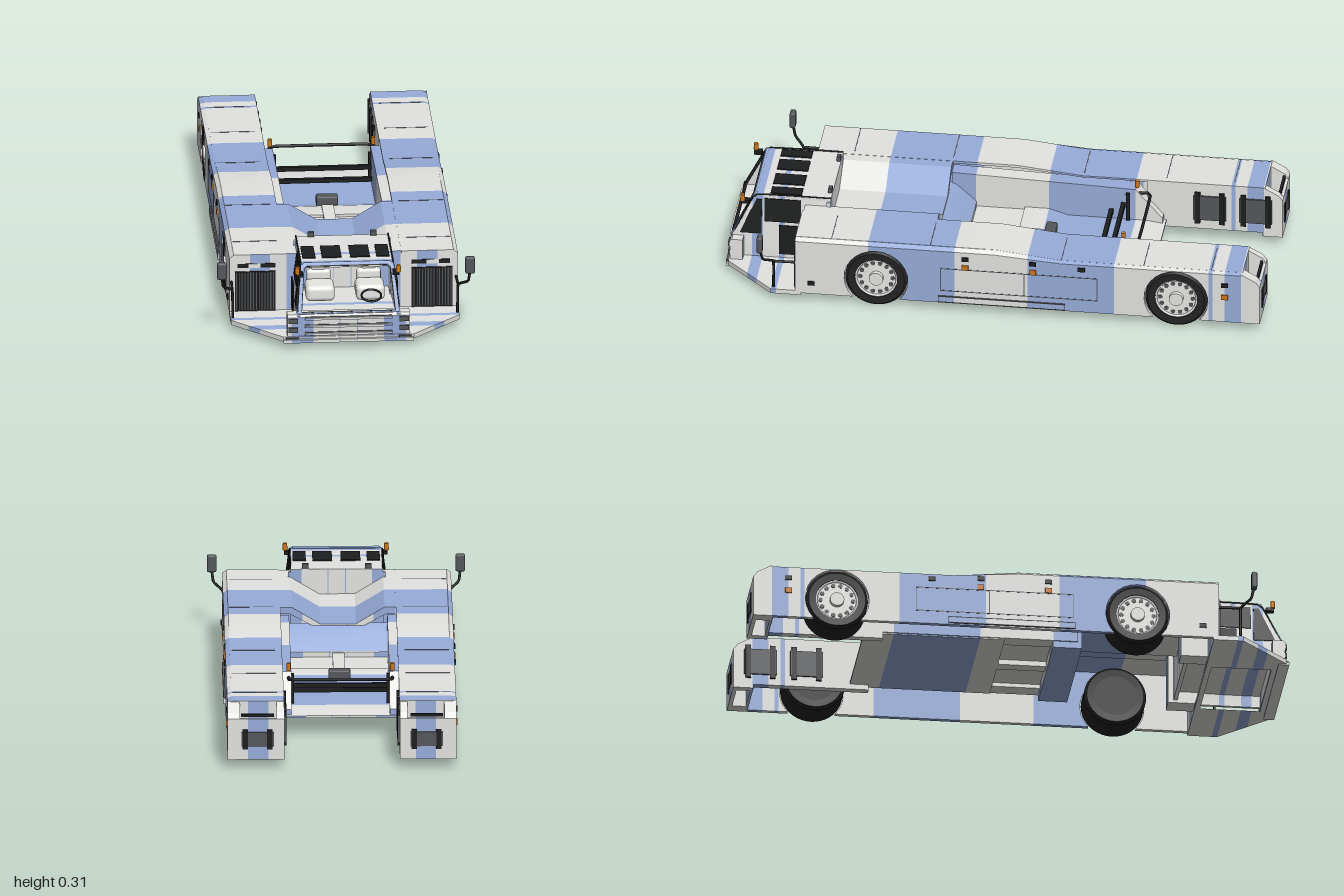
import * as THREE from 'three';
import { toCreasedNormals } from 'three/addons/utils/BufferGeometryUtils.js';
import { RoundedBoxGeometry } from 'three/addons/geometries/RoundedBoxGeometry.js';

const material = (name, color, side = THREE.FrontSide) =>
  Object.assign(new THREE.MeshStandardMaterial({ color, side }), { name });
const points = (list) => list.map((p) => new THREE.Vector2(...p));

// Blue camouflage bands: along z on most faces, along x on faces turned to the front or back
const zBands = [-9, -0.93, -0.87, -0.825, -0.81, -0.46, -0.14, 0.13, 0.45, 0.79, 0.81, 0.87, 0.91, 9];
const xBands = [-9, -0.345, -0.27, -0.21, -0.13, -0.034, -0.031, 0.031, 0.034, 0.13, 0.21, 0.27, 0.345, 9];

// Keep the part of a polygon where sign * (p[axis] - limit) >= 0
function clip(poly, axis, limit, sign) {
  const out = [];
  poly.forEach((a, i) => {
    const b = poly[(i + 1) % poly.length];
    const da = sign * (a[axis] - limit), db = sign * (b[axis] - limit);
    if (da >= 0) out.push(a);
    if (da * db < 0) out.push(a.clone().lerp(b, da / (da - db)));
  });
  return out;
}

// Cut a geometry at the band edges and sort its faces into grey and blue groups
function bandGeometry(source) {
  const pos = (source.index ? source.toNonIndexed() : source).attributes.position;
  const lists = [[], []];
  for (let i = 0; i < pos.count; i += 3) {
    const tri = [0, 1, 2].map((k) => new THREE.Vector3().fromBufferAttribute(pos, i + k));
    const n = new THREE.Triangle(...tri).getNormal(new THREE.Vector3());
    const axis = Math.abs(n.z) > 0.85 ? 'x' : 'z';
    const bands = axis === 'x' ? xBands : zBands;
    for (let b = 0; b + 1 < bands.length; b++) {
      const poly = clip(clip(tri, axis, bands[b], 1), axis, bands[b + 1], -1);
      for (let k = 1; k + 1 < poly.length; k++)
        [poly[0], poly[k], poly[k + 1]].forEach((p) => lists[b % 2].push(p.x, p.y, p.z));
    }
  }
  const g = new THREE.BufferGeometry();
  g.setAttribute('position', new THREE.Float32BufferAttribute([...lists[0], ...lists[1]], 3));
  g.addGroup(0, lists[0].length / 3, 0);
  g.addGroup(lists[0].length / 3, lists[1].length / 3, 1);
  return toCreasedNormals(g, 0.35);
}

// Side profile of [z, y] points, extruded from x0 to x1
const slab = (profile, x0, x1) =>
  new THREE.ExtrudeGeometry(new THREE.Shape(points(profile.map(([z, y]) => [-z, y]))), { depth: Math.abs(x1 - x0), bevelEnabled: false })
    .rotateY(Math.PI / 2).translate(Math.min(x0, x1), 0, 0);
// Box given by its limits
const box = (x0, x1, y0, y1, z0, z1) => new THREE.BoxGeometry(Math.abs(x1 - x0), y1 - y0, z1 - z0)
  .translate((x0 + x1) / 2, (y0 + y1) / 2, (z0 + z1) / 2);
const rounded = (w, h, d, r, x, y, z) => new RoundedBoxGeometry(w, h, d, 3, r).translate(x, y, z);
const tube = (path, r) => new THREE.TubeGeometry(
  new THREE.CatmullRomCurve3(path.map((p) => new THREE.Vector3(...p)), false, 'catmullrom', 0.1), 20, r, 8);
const disc = (r, w) => new THREE.CylinderGeometry(r, r, w, 32).rotateZ(-Math.PI / 2);

// Move each vertex by a rule
function bend(geo, rule) {
  const p = geo.attributes.position, v = new THREE.Vector3();
  for (let i = 0; i < p.count; i++) {
    rule(v.fromBufferAttribute(p, i));
    p.setXYZ(i, v.x, v.y, v.z);
  }
  geo.computeVertexNormals();
  return geo;
}

// Outline over a wheel, travelling towards +z
function arch(z0) {
  const r = 0.118, dip = Math.asin(0.08 / r);
  return Array.from({ length: 21 }, (_, i) => {
    const a = Math.PI + dip - (i / 20) * (Math.PI + 2 * dip);
    return [z0 + r * Math.cos(a), 0.115 + r * Math.sin(a)];
  });
}

export function createModel() {
  const model = new THREE.Group();
  const grey = material('body grey', 0xe3e3e1), blue = material('body blue', 0x97acd9);
  const pale = material('pale trim', 0xe8e8e5), dark = material('black', 0x1d1e1f, THREE.DoubleSide);
  const mid = material('dark grey', 0x54575a), rubber = material('rubber', 0x232323);
  const orange = material('orange lamp', 0xd07818);
  const add = (name, geo, mat, parent = model) => {
    const mesh = new THREE.Mesh(geo, mat);
    mesh.name = name;
    parent.add(mesh);
  };
  const body = (name, geo) => add(name, bandGeometry(geo), [grey, blue]);

  const podTop = [[0.72, 0.265], [-0.02, 0.265], [-0.26, 0.24], [-0.935, 0.24]];
  const skinProfile = [[0.72, 0.035], ...podTop, [-0.935, 0.035], ...arch(-0.69), ...arch(0.42)];
  const roofProfile = [...podTop, [-0.935, 0.233], [-0.26, 0.233], [-0.02, 0.255], [0.72, 0.255]];
  const endProfile = [[-0.93, 0.24], [-0.985, 0.21], [-1, 0.19], [-1, 0.035], [-0.93, 0.035]];

  // Wheel with perforated hub, outside towards +x
  const tyre = toCreasedNormals(new THREE.LatheGeometry(points([[0.078, -0.06], [0.105, -0.062], [0.115, -0.05],
    [0.115, 0.05], [0.105, 0.062], [0.078, 0.06], [0.078, -0.06]]), 40), 0.6).rotateZ(-Math.PI / 2);
  const addWheel = (s, z, name) => {
    const wheel = new THREE.Group();
    wheel.name = name;
    wheel.position.set(s * 0.355, 0.115, z);
    wheel.rotation.y = s > 0 ? 0 : Math.PI;
    add('tyre', tyre, rubber, wheel);
    add('hub', disc(0.079, 0.1), pale, wheel);
    add('brakeDrum', disc(0.079, 0.02).translate(-0.05, 0, 0), rubber, wheel);
    add('hubRing', new THREE.TorusGeometry(0.076, 0.005, 6, 40).rotateY(Math.PI / 2).translate(0.052, 0, 0), grey, wheel);
    add('hubCap', disc(0.026, 0.02).translate(0.056, 0, 0), grey, wheel);
    for (let a = 0; a < 6.2; a += Math.PI / 7)
      add('hubHole', disc(0.008, 0.004).translate(0.05, 0.06 * Math.sin(a), 0.06 * Math.cos(a)), mid, wheel);
    model.add(wheel);
  };

  for (const s of [-1, 1]) {
    const side = s > 0 ? 'left' : 'right';
    // Hollow side pod: outer skin with chamfered top edge, roof, end walls and inner walls
    body(side + 'PodSkin', bend(slab(skinProfile, s * 0.403, s * 0.42), (v) => {
      if (Math.abs(v.x) > 0.415 && v.y > 0.235) v.y -= v.y > 0.25 ? 0.013 : 0.006;
    }));
    body(side + 'PodRoof', slab(roofProfile, s * 0.212, s * 0.404));
    body(side + 'PodFront', box(s * 0.235, s * 0.404, 0.035, 0.264, 0.7, 0.72));
    body(side + 'PodBack', box(s * 0.212, s * 0.404, 0.035, 0.238, -0.935, -0.925));
    body(side + 'InnerSill', slab([[0.22, 0.235], [-0.46, 0.215], [-0.56, 0.1], [-0.56, 0.075], [0.22, 0.075]], s * 0.18, s * 0.24));
    body(side + 'ArmInnerWall', slab([[-0.5, 0.235], [-0.5, 0.05], [-0.935, 0.05], [-0.935, 0.235]], s * 0.212, s * 0.24));
    body(side + 'Shoulder', box(s * 0.17, s * 0.24, 0.04, 0.264, 0.6, 0.715));
    // Rear arm ends with open tops, and bumper plates
    body(side + 'ArmEndOuter', slab(endProfile, s * 0.375, s * 0.42));
    body(side + 'ArmEndInner', slab(endProfile, s * 0.212, s * 0.24));
    body(side + 'ArmEndBack', box(s * 0.235, s * 0.38, 0.035, 0.19, -1, -0.985));
    add('endBar', box(s * 0.25, s * 0.37, 0.195, 0.205, -0.99, -0.98), dark);
    add('endPlate', box(s * 0.25, s * 0.37, 0.085, 0.14, -1.003, -0.998), mid);
    for (const x of [0.265, 0.355])
      add('endPlateLug', box(s * (x - 0.01), s * (x + 0.01), 0.075, 0.15, -1.004, -0.998), dark);
    for (const z of [-0.9, -0.73]) {
      add('innerGuard', box(s * 0.205, s * 0.213, 0.09, 0.19, z - 0.06, z + 0.06), mid);
      for (const dz of [-0.045, 0.045])
        add('innerGuardLug', box(s * 0.203, s * 0.213, 0.075, 0.205, z + dz - 0.01, z + dz + 0.01), dark);
    }
    addWheel(s, 0.42, side + 'FrontWheel');
    addWheel(s, -0.69, side + 'RearWheel');
    // Side step rail, panel seams, lamps and handles
    body(side + 'StepRail', box(s * 0.418, s * 0.426, 0.042, 0.062, -0.28, 0.19));
    for (const y of [0.04, 0.062]) add('railSeam', box(s * 0.419, s * 0.4262, y, y + 0.003, -0.28, 0.19), mid);
    for (const y of [0.085, 0.178]) add('panelSeam', box(s * 0.419, s * 0.4212, y, y + 0.003, -0.4, 0.18), mid);
    for (const z of [0.18, -0.13, -0.4]) add('panelSeam', box(s * 0.419, s * 0.4212, 0.085, 0.18, z, z + 0.003), mid);
    for (const [z, y] of [[0.585, 0.264], [0.22, 0.264], [-0.265, 0.239], [-0.57, 0.239], [-0.82, 0.239]])
      add('topSeam', box(s * 0.237, s * 0.4, y, y + 0.002, z, z + 0.003), mid);
    for (const [z, y] of [[0.09, 0.19], [-0.16, 0.19], [-0.87, 0.14]])
      add('sideMarker', box(s * 0.418, s * 0.425, y - 0.01, y + 0.01, z - 0.012, z + 0.012), orange);
    for (const [z, y] of [[0.66, 0.08], [0.09, 0.225], [-0.16, 0.225], [-0.34, 0.215], [-0.87, 0.19]])
      add('handle', box(s * 0.418, s * 0.425, y - 0.008, y + 0.008, z - 0.013, z + 0.013), dark);
    // Radiator grille on the pod front
    add(side + 'Grille', box(s * 0.25, s * 0.4, 0.045, 0.2, 0.718, 0.724), dark);
    for (let x = 0.256; x < 0.395; x += 0.0105) add('grilleBar', box(s * x, s * (x + 0.004), 0.05, 0.197, 0.722, 0.727), mid);
    add('grilleSlot', box(s * 0.25, s * 0.39, 0.214, 0.23, 0.718, 0.722), dark);
    add('grilleSlotLight', box(s * 0.305, s * 0.35, 0.214, 0.23, 0.719, 0.723), pale);
    // Cab side, leaning inwards above the sill
    const lean = (geo) => bend(geo, (v) => { v.x -= s * 0.13 * Math.max(0, v.y - 0.13); });
    const cabProfile = [[0.985, 0.04], [0.985, 0.125], [0.9, 0.293], [0.62, 0.293], [0.62, 0.125], [0.62, 0.04]];
    body(side + 'CabSide', lean(slab(cabProfile, s * 0.178, s * 0.19)));
    add(side + 'QuarterWindow', lean(slab([[0.955, 0.14], [0.895, 0.275], [0.875, 0.275], [0.875, 0.14]], s * 0.189, s * 0.193)), dark);
    add(side + 'DoorWindow', lean(slab([[0.865, 0.19], [0.865, 0.28], [0.73, 0.28], [0.73, 0.19]], s * 0.189, s * 0.193)), dark);
    add(side + 'DoorLower', box(s * 0.189, s * 0.194, 0.06, 0.18, 0.73, 0.81), dark);
    // Roof fittings
    add('roofRail', tube([[s * 0.185, 0.14, 0.975], [s * 0.17, 0.293, 0.9], [s * 0.17, 0.297, 0.62]], 0.003), dark);
    add('beacon', new THREE.CylinderGeometry(0.008, 0.009, 0.026, 12).translate(s * 0.186, 0.287, 0.945), orange);
    add('beaconBracket', box(s * 0.165, s * 0.19, 0.262, 0.275, 0.92, 0.95), dark);
    add('roofLamp', box(s * 0.103, s * 0.127, 0.295, 0.313, 0.622, 0.636), mid);
    for (const [a, b] of [[0.016, 0.088], [0.112, 0.16]]) add('roofWindow', box(s * a, s * b, 0.292, 0.298, 0.73, 0.845), dark);
    // Mirror on its bent rail
    add(side + 'Mirror', rounded(0.036, 0.066, 0.022, 0.008, s * 0.456, 0.253, 0.845), mid);
    add('mirrorArm', tube([[s * 0.413, 0.05, 0.8], [s * 0.415, 0.16, 0.8], [s * 0.45, 0.185, 0.835], [s * 0.456, 0.23, 0.845]], 0.005), dark);
    add('mirrorBrace', tube([[s * 0.413, 0.16, 0.715], [s * 0.415, 0.16, 0.8]], 0.005), dark);
    // Headlamps and seat
    for (const y of [0.105, 0.07]) add('headlamp', box(s * 0.187, s * 0.222, y - 0.009, y + 0.009, 0.985, 0.994), mid);
    add('foglamp', box(s * 0.185, s * 0.23, 0.034, 0.042, 0.985, 1), mid);
    add(side + 'SeatCushion', rounded(0.106, 0.06, 0.1, 0.018, s * 0.092, 0.14, 0.77), pale);
    add(side + 'SeatBack', rounded(0.09, 0.09, 0.03, 0.014, s * 0.092, 0.155, 0.71), pale);
    add(side + 'Headrest', rounded(0.055, 0.04, 0.025, 0.01, s * 0.092, 0.213, 0.705), grey);
    // Cradle lamp and post, bay bin
    add('rearLamp', new THREE.CylinderGeometry(0.008, 0.008, 0.028, 10).translate(s * 0.19, 0.235, -0.465), orange);
    add('cradlePost', box(s * 0.17, s * 0.181, 0.08, 0.2, -0.44, -0.425), dark);
    body('bayBin', box(s * 0.02, s * 0.18, 0.09, 0.1, -0.05, 0.13));
  }

  // Front deck with tapered corners, open below the cab; nose, slats and bumper
  const deckShape = new THREE.Shape(points([[-0.42, -0.7], [0.42, -0.7], [0.42, -0.81], [0.24, -0.99], [-0.24, -0.99], [-0.42, -0.81]]));
  deckShape.holes.push(new THREE.Path(points([[-0.18, -0.72], [0.18, -0.72], [0.18, -0.94], [-0.18, -0.94]])));
  body('frontDeck', new THREE.ExtrudeGeometry(deckShape, { depth: 0.018, bevelEnabled: false }).rotateX(-Math.PI / 2).translate(0, 0.026, 0));
  body('nose', slab([[0.985, 0.03], [0.988, 0.118], [0.98, 0.127], [0.94, 0.127], [0.94, 0.03]], -0.225, 0.225));
  body('bumper', box(-0.24, 0.24, 0.022, 0.034, 0.96, 1));
  for (const y of [0.06, 0.09, 0.12]) {
    body('noseSlat', box(-0.16, 0.16, y - 0.011, y - 0.003, 0.985, 0.996));
    add('slatShadow', box(-0.16, 0.16, y - 0.002, y, 0.985, 0.99), mid);
  }

  // Cab shell, windscreen surround and steering wheel
  body('cabFloor', box(-0.18, 0.18, 0.085, 0.095, 0.62, 0.95));
  body('cabRoof', box(-0.17, 0.17, 0.28, 0.294, 0.62, 0.905));
  body('cabBackWall', box(-0.178, 0.178, 0.05, 0.282, 0.62, 0.635));
  const frame = (outer, hole, depth) => {
    const corners = ([w0, y0, w1, y1]) => points([[-w0, y0], [w0, y0], [w1, y1 - 0.012], [w1 - 0.012, y1], [0.012 - w1, y1], [-w1, y1 - 0.012]]);
    const shape = new THREE.Shape(corners(outer));
    shape.holes.push(new THREE.Path(corners(hole)));
    return new THREE.ExtrudeGeometry(shape, { depth, bevelEnabled: false }).rotateX(-Math.atan2(0.085, 0.17)).translate(0, 0.127, 0.978);
  };
  add('windscreenFrame', frame([0.186, 0, 0.17, 0.19], [0.172, 0.006, 0.159, 0.176], 0.01), blue);
  add('windscreenSeal', frame([0.174, 0.004, 0.161, 0.178], [0.171, 0.008, 0.158, 0.174], 0.012), dark);
  add('steeringWheel', new THREE.TorusGeometry(0.036, 0.004, 8, 28).rotateX(-1.3).translate(0.09, 0.16, 0.89), dark);

  // Hood with a central trough, and the slope behind it
  const hood = [[0.24, 0.264], [0.17, 0.264], [0.065, 0.2]], under = [[0.07, 0.18], [0.18, 0.24], [0.24, 0.24]];
  const flip = (list) => list.map(([x, y]) => [-x, y]).reverse();
  const hoodShape = new THREE.Shape(points([...hood, ...flip(hood), ...flip(under), ...under]));
  body('hood', new THREE.ExtrudeGeometry(hoodShape, { depth: 0.405, bevelEnabled: false }).translate(0, 0, 0.22));
  body('hoodSlope', slab([[0.235, 0.2], [0.2, 0.185], [0.128, 0.12], [0.128, 0.05], [0.235, 0.05]], -0.235, 0.235));

  // Central bay: floor, spine, winch and the cradle bars at the rear
  body('bayFloor', slab([[-0.05, 0.088], [-0.5, 0.088], [-0.57, 0.078], [-0.57, 0.07], [-0.05, 0.07]], -0.235, 0.235));
  body('baySpine', box(-0.022, 0.022, 0.07, 0.115, -0.14, 0.14));
  body('bayStep', slab([[-0.05, 0.11], [-0.14, 0.11], [-0.22, 0.085], [-0.05, 0.08]], -0.18, 0.18));
  add('winch', rounded(0.08, 0.04, 0.04, 0.006, 0, 0.12, -0.17), mid);
  add('cradleHoop', tube([[-0.185, 0.19, -0.42], [-0.185, 0.2, -0.515], [0.185, 0.2, -0.515], [0.185, 0.19, -0.42]], 0.006), dark);
  for (const [z, y] of [[-0.415, 0.15], [-0.37, 0.12]]) add('cradleBar', box(-0.182, 0.182, y - 0.008, y + 0.008, z - 0.008, z + 0.008), dark);
  return model;
}
